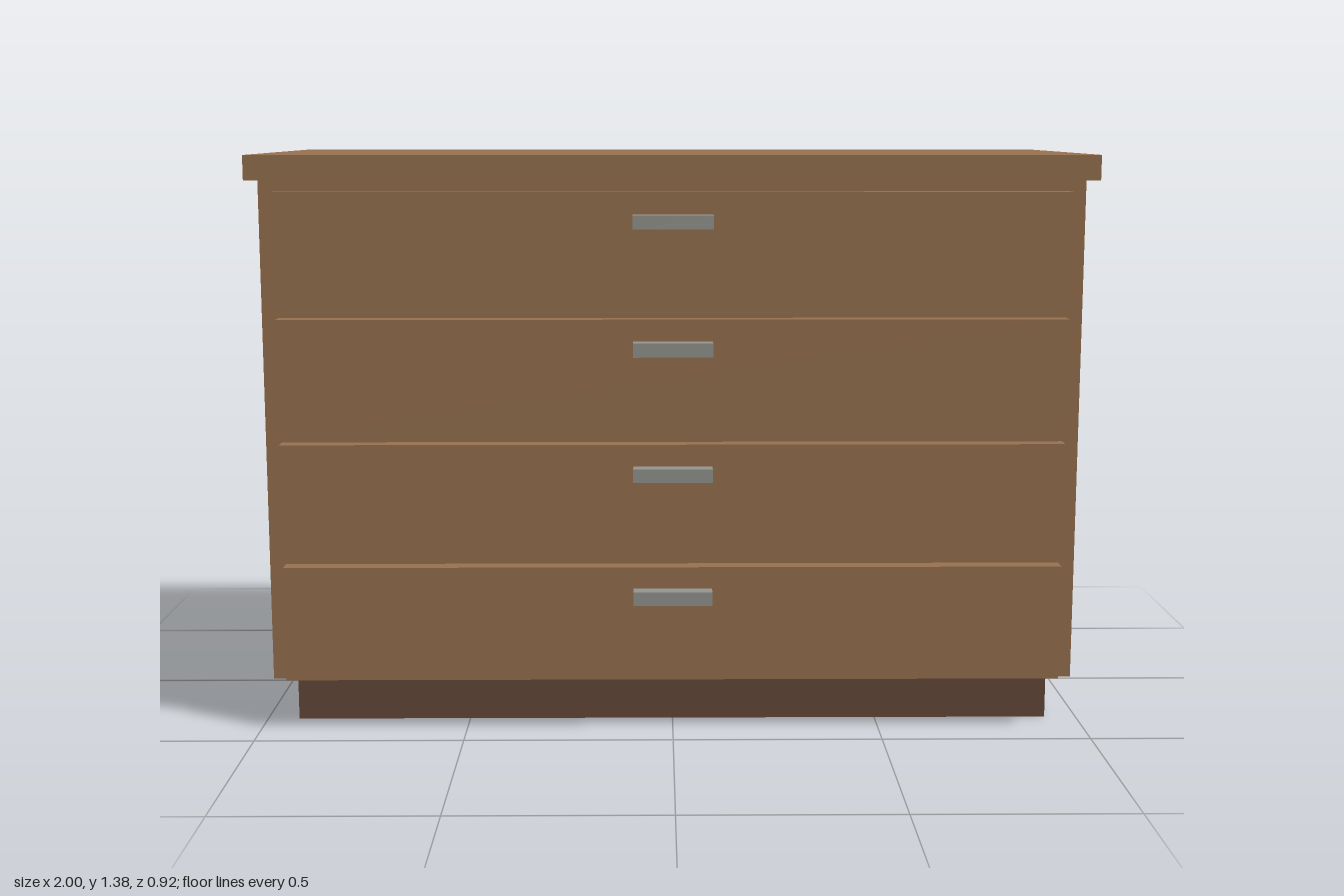
import * as THREE from 'three';

const material = (name, color) => {
  const m = new THREE.MeshStandardMaterial({ color });
  m.name = name;
  return m;
};

// Box given by its [min, max] extent on each axis
function box(name, mat, [x0, x1], [y0, y1], [z0, z1]) {
  const mesh = new THREE.Mesh(new THREE.BoxGeometry(x1 - x0, y1 - y0, z1 - z0), mat);
  mesh.name = name;
  mesh.position.set((x0 + x1) / 2, (y0 + y1) / 2, (z0 + z1) / 2);
  return mesh;
}

export function createModel() {
  const wood = material('wood', 0x977250);
  const darkWood = material('dark wood', 0x65483a);
  const metal = material('metal', 0x959590);

  const dresser = new THREE.Group();
  dresser.name = 'chestOfDrawers';

  // Recessed plinth, carcass and overhanging top
  dresser.add(
    box('plinth', darkWood, [-0.923, 0.923], [0, 0.118], [-0.38, 0.328]),
    box('carcass', wood, [-0.972, 0.972], [0.118, 1.324], [-0.433, 0.38]),
    box('top', wood, [-1, 1], [1.324, 1.383], [-0.459, 0.407])
  );

  // Four equal drawers, each with a bar handle near its upper edge
  for (let i = 0; i < 4; i++) {
    const y = 0.126 + i * 0.298;
    const drawer = new THREE.Group();
    drawer.name = `drawer${i + 1}`;
    drawer.add(
      box('drawerFront', wood, [-0.934, 0.934], [y, y + 0.278], [0.38, 0.422]),
      box('handle', metal, [-0.094, 0.094], [y + 0.193, y + 0.226], [0.422, 0.462])
    );
    dresser.add(drawer);
  }
  return dresser;
}
